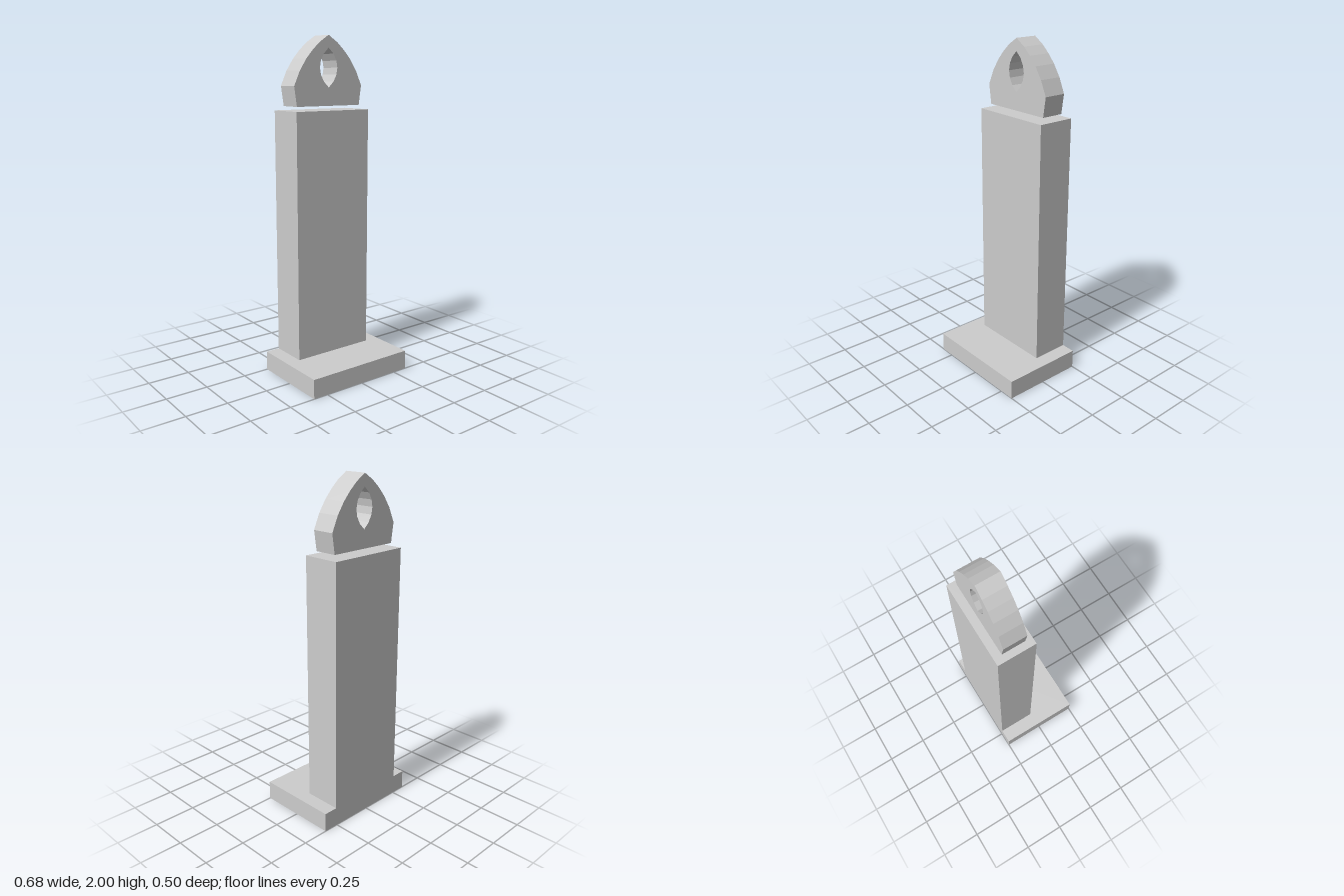
import * as THREE from 'three';

const stone = new THREE.MeshStandardMaterial({ color: 0xcccccc, side: THREE.DoubleSide });
stone.name = 'pale grey';

// Box shell without its underside, placed by its lower face
function openBox(name, width, height, depth, y, z) {
  const geometry = new THREE.BoxGeometry(width, height, depth);
  const index = Array.from(geometry.index.array);
  index.splice(18, 6);
  geometry.setIndex(index);
  geometry.clearGroups();
  const mesh = new THREE.Mesh(geometry, stone);
  mesh.name = name;
  mesh.position.set(0, y + height / 2, z);
  return mesh;
}

// Closed outline from its right half, listed from bottom to top
function mirrored(right) {
  const left = right.filter(([x]) => x > 0).reverse().map(([x, y]) => [-x, y]);
  return [...right, ...left].map(([x, y]) => new THREE.Vector2(x, y));
}

// Pointed arch plate pierced by an almond-shaped eye
function archTop() {
  const shape = new THREE.Shape(mirrored([
    [0.222, 1.6], [0.239, 1.715], [0.2, 1.8], [0.155, 1.867],
    [0.11, 1.917], [0.062, 1.96], [0, 2],
  ]));
  shape.holes.push(new THREE.Path(mirrored([
    [0, 1.705], [0.034, 1.738], [0.055, 1.777], [0.062, 1.817],
    [0.055, 1.857], [0.034, 1.896], [0, 1.929],
  ])));
  const geometry = new THREE.ExtrudeGeometry(shape, { depth: 0.136, bevelEnabled: false });
  const mesh = new THREE.Mesh(geometry, stone);
  mesh.name = 'archTop';
  mesh.position.z = -0.206;
  return mesh;
}

export function createModel() {
  const model = new THREE.Group();
  model.name = 'marker';
  model.add(
    openBox('base', 0.684, 0.115, 0.5, 0, 0),
    openBox('column', 0.512, 1.46, 0.227, 0.115, -0.1365),
    archTop(),
  );
  return model;
}
